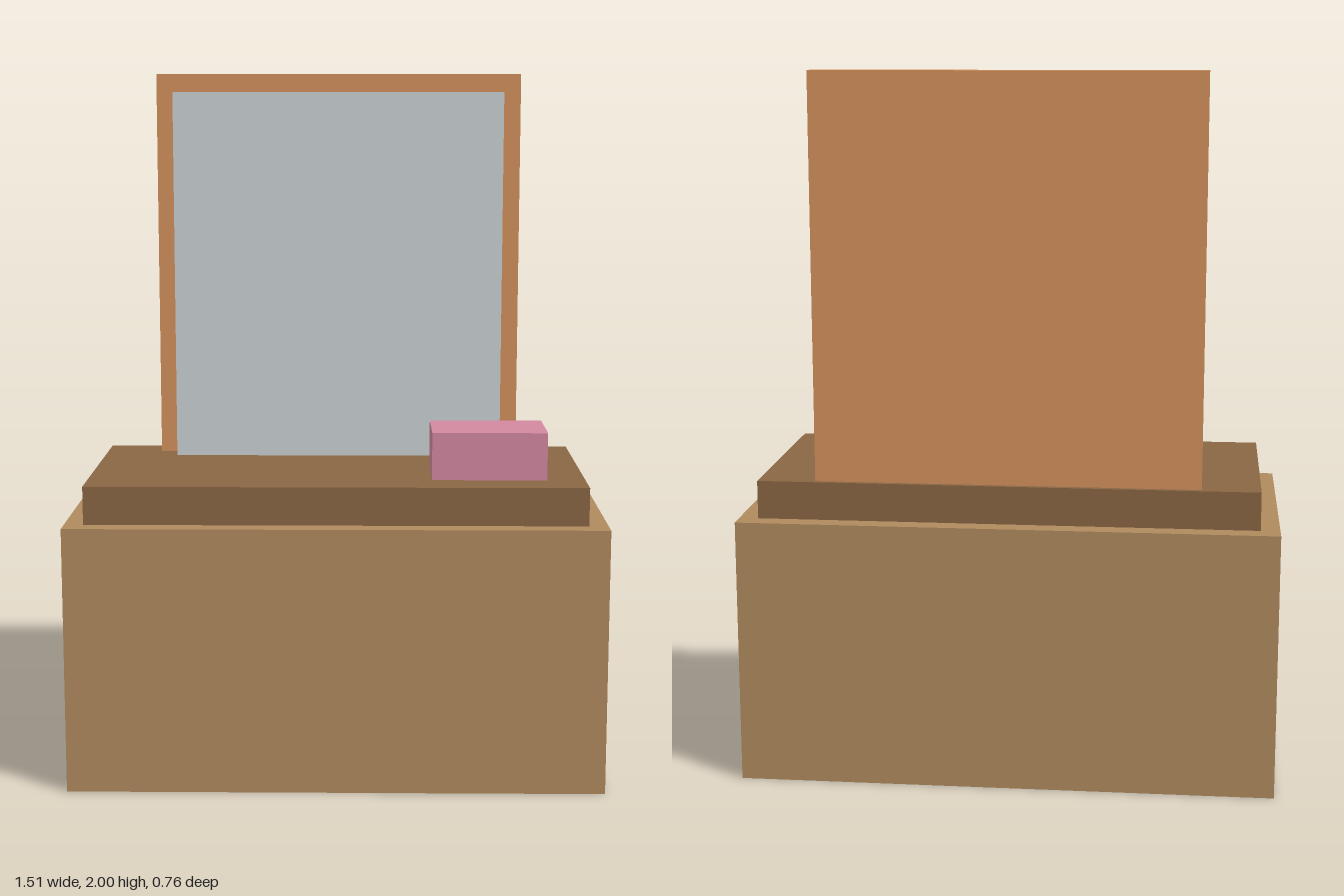
import * as THREE from 'three';

export function createModel() {
  const model = new THREE.Group();
  model.name = 'dressingTable';

  // Adds a box given its extents along each axis
  function addBox(name, color, [x0, x1], [y0, y1], [z0, z1]) {
    const mesh = new THREE.Mesh(
      new THREE.BoxGeometry(x1 - x0, y1 - y0, z1 - z0),
      new THREE.MeshStandardMaterial({ color })
    );
    mesh.position.set((x0 + x1) / 2, (y0 + y1) / 2, (z0 + z1) / 2);
    mesh.name = name;
    model.add(mesh);
  }

  const bodyTop = 0.757;
  const tableTop = 0.865;
  const frameFront = -0.233;

  // Cabinet and the inset slab on it
  addBox('cabinetBody', 0xb08a5e, [-0.757, 0.757], [0, bodyTop], [-0.378, 0.378]);
  addBox('tableTop', 0x8a6644, [-0.703, 0.703], [bodyTop, tableTop], [-0.324, 0.324]);

  // Mirror with its backing panel
  addBox('mirrorFrame', 0xd3915c, [-0.54, 0.54], [tableTop, 2], [-0.31, frameFront]);
  addBox('mirrorGlass', 0xcad0d4, [-0.486, 0.486], [tableTop, 1.946], [frameFront, -0.162]);

  // Small box standing at the front on the model's left
  addBox('jewelryBox', 0xd388a0, [0.27, 0.595], [tableTop, 1], [0, 0.216]);

  return model;
}
